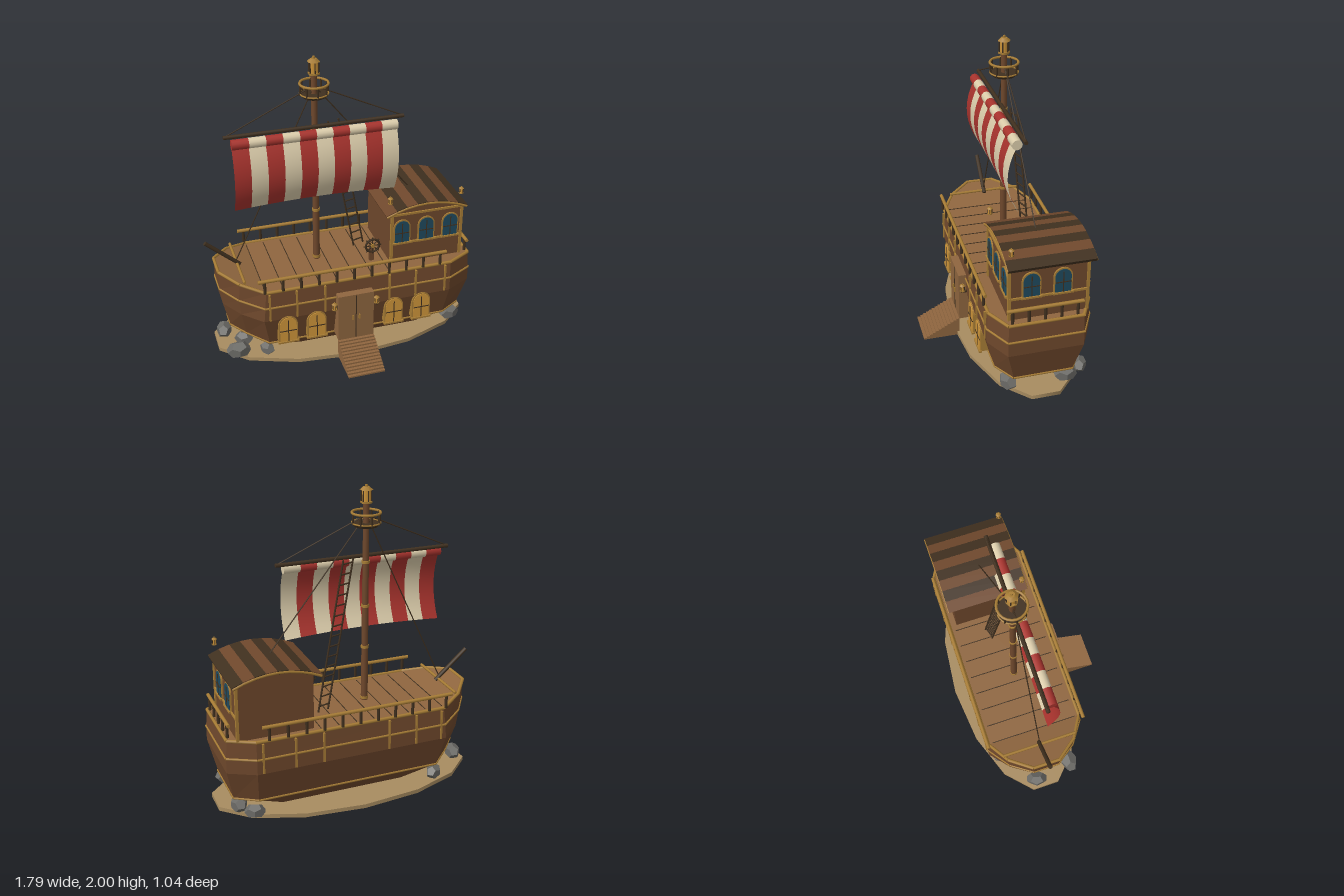
import * as THREE from 'three';

const mat = (name, color, side = THREE.FrontSide) => {
  const m = new THREE.MeshStandardMaterial({ color, side });
  m.name = name;
  return m;
};
const V = (x, y, z) => new THREE.Vector3(x, y, z);
const CZ = -0.11; // centre line of the ship

export function createModel() {
  const root = new THREE.Group();
  root.name = 'shipHouse';
  const hullWood = mat('hullWood', 0x6f482c), dark = mat('darkWood', 0x40301f), light = mat('lightWood', 0x8f663f);
  const gold = mat('goldTrim', 0xa87d35), amber = mat('amberGlass', 0xd0963a), blue = mat('blueGlass', 0x1f4a5e);
  const red = mat('redCloth', 0xa8332d, THREE.DoubleSide), cream = mat('creamCloth', 0xdccdab, THREE.DoubleSide);
  const sand = mat('sand', 0xa88c60), stone = mat('stone', 0x6b6a66);

  const add = (name, geo, m, x = 0, y = 0, z = 0, parent = root) => {
    const mesh = new THREE.Mesh(geo, m);
    mesh.name = name;
    mesh.position.set(x, y, z);
    parent.add(mesh);
    return mesh;
  };
  const box = (name, m, w, h, d, x, y, z, parent) => add(name, new THREE.BoxGeometry(w, h, d), m, x, y, z, parent);
  const cyl = (name, m, r0, r1, h, x, y, z, n = 8, parent) => add(name, new THREE.CylinderGeometry(r0, r1, h, n), m, x, y, z, parent);
  const bar = (name, m, a, b, r, n = 6) => {
    const mesh = cyl(name, m, r, r, a.distanceTo(b), 0, 0, 0, n);
    mesh.position.copy(a).add(b).multiplyScalar(0.5);
    mesh.quaternion.setFromUnitVectors(V(0, 1, 0), b.clone().sub(a).normalize());
    return mesh;
  };
  const group = (name, x, y, z) => {
    const g = new THREE.Group();
    g.name = name;
    g.position.set(x, y, z);
    root.add(g);
    return g;
  };
  const flat = (quads) => {
    const p = quads.flatMap(([a, b, c, d]) => [a, b, c, a, c, d]).flatMap((v) => v.toArray());
    const g = new THREE.BufferGeometry();
    g.setAttribute('position', new THREE.Float32BufferAttribute(p, 3));
    g.computeVertexNormals();
    return g;
  };

  // Sandy base
  const base = cyl('sandBase', sand, 0.9, 0.9, 0.027, 0.015, 0.0135, CZ, 14);
  base.scale.z = 0.41 / 0.9;

  // Hull: outlines lofted upward, each a half plan of [x, half width] from bow to stern
  const levels = [
    { y: 0.035, rise: 0, plan: [[-0.4, 0.08], [-0.38, 0.15], [-0.33, 0.2], [0.5, 0.2], [0.56, 0.11]] },
    { y: 0.132, rise: 0.065, plan: [[-0.77, 0.06], [-0.68, 0.16], [-0.55, 0.275], [0.68, 0.275], [0.82, 0.19]] },
    { y: 0.345, rise: 0.03, plan: [[-0.815, 0.08], [-0.72, 0.22], [-0.59, 0.33], [0.7, 0.33], [0.87, 0.24]] },
    { y: 0.445, rise: 0.05, plan: [[-0.83, 0.085], [-0.73, 0.225], [-0.58, 0.33], [0.7, 0.33], [0.87, 0.24]] },
    { y: 0.563, rise: 0.065, plan: [[-0.83, 0.09], [-0.72, 0.23], [-0.57, 0.32], [0.7, 0.32], [0.86, 0.235]] },
  ];
  const rings = levels.map(({ y, rise, plan }) => {
    const side = (s) => plan.map(([x, w]) => V(x, y + rise * Math.max(0, (-0.57 - x) / 0.26), CZ + s * w));
    return [...side(1), ...side(-1).reverse()];
  });
  const strips = (r, up) => [0, 1, 2, 3].map((i) => {
    const q = [r[i], r[i + 1], r[8 - i], r[9 - i]];
    return up ? q : q.reverse();
  });
  const walls = strips(rings[0], false);
  for (let l = 0; l < 4; l++) {
    for (let i = 0; i < 10; i++) {
      const j = (i + 1) % 10;
      walls.push([rings[l][i], rings[l][j], rings[l + 1][j], rings[l + 1][i]]);
    }
  }
  add('hull', flat(walls), hullWood);
  add('deck', flat(strips(rings[4], true)), light);
  for (const [l, r] of [[1, 0.008], [3, 0.008], [4, 0.011]]) {
    rings[l].forEach((p, i) => bar('hullTrim', gold, p, rings[l][(i + 1) % 10], r));
  }
  for (let i = 0; i < 8; i++) box('deckSeam', dark, 0.005, 0.004, 0.58, -0.57 + i * 0.12, 0.564, CZ);
  for (const s of [1, -1]) {
    for (const x of [-0.55, -0.37, -0.18, 0.265, 0.45, 0.66]) box('hullRib', gold, 0.012, 0.2, 0.016, x, 0.45, CZ + s * 0.33);
  }

  // Deck railings
  const railing = (name, a, b, n) => {
    bar(name + 'Rail', gold, a, b, 0.012, 8);
    for (let i = 0; i < n; i++) {
      const p = a.clone().lerp(b, (i + 0.35) / (n - 0.3));
      cyl(name + 'Post', dark, 0.01, 0.01, 0.09, p.x, p.y - 0.047, p.z);
    }
  };
  for (const s of [1, -1]) railing('side', V(-0.62, 0.66, CZ + s * 0.33), V(0.66, 0.66, CZ + s * 0.33), 11);
  railing('stern', V(0.845, 0.66, -0.345), V(0.845, 0.66, 0.135), 5);
  bar('bowRail', gold, V(-0.69, 0.62, -0.36), V(-0.69, 0.62, 0.14), 0.01);
  bar('bowsprit', dark, V(-0.67, 0.61, CZ), V(-0.892, 0.807, CZ), 0.014, 8);

  // Arched windows, standing on their origin and facing +z
  const arch = (w, h) => {
    const r = w / 2;
    return new THREE.Shape().moveTo(-r, 0).lineTo(r, 0).lineTo(r, h - r).absarc(0, h - r, r, 0, Math.PI, false).lineTo(-r, 0);
  };
  const slab = (shape, depth) => new THREE.ExtrudeGeometry(shape, { depth, bevelEnabled: false, curveSegments: 8 });
  const archWindow = (name, glass, w, h, x, y, z, turn, back) => {
    const g = group(name, x, y, z);
    g.rotation.y = turn;
    add('frame', slab(arch(w + 0.018, h + 0.012), back), gold, 0, -0.003, -back, g);
    add('pane', slab(arch(w, h), 0.004), glass, 0, 0, 0, g);
    box('upright', dark, 0.006, h * 0.9, 0.006, 0, h * 0.45, 0.004, g);
    box('crossbar', dark, w, 0.006, 0.006, 0, h * 0.45, 0.004, g);
    box('sill', gold, w + 0.03, 0.012, 0.02, 0, -0.004, 0.002, g);
  };
  for (const x of [-0.435, -0.24, 0.298, 0.495]) archWindow('hullWindow', amber, 0.112, 0.185, x, 0.17, 0.226, 0, 0.05);

  // Entrance with double doors, stairs and wall lanterns
  box('entrance', light, 0.245, 0.345, 0.12, 0.017, 0.302, 0.21);
  box('doorGap', dark, 0.006, 0.335, 0.004, 0.017, 0.302, 0.271);
  for (const x of [-0.005, 0.039]) box('doorHandle', gold, 0.008, 0.035, 0.012, x, 0.3, 0.273);
  for (let i = 0; i < 12; i++) {
    const h = 0.13 * (12 - i) / 12;
    box('stair', light, 0.25, h, 0.0205, 0.017, h / 2, 0.28 + i * 0.0205);
  }
  const lantern = (name, x, y, z, s) => {
    const g = group(name, x, y, z);
    g.scale.setScalar(s);
    cyl('lanternBase', gold, 0.038, 0.038, 0.012, 0, 0.006, 0, 6, g);
    cyl('lanternGlass', amber, 0.027, 0.027, 0.07, 0, 0.047, 0, 6, g);
    for (let i = 0; i < 6; i++) {
      const a = i * Math.PI / 3;
      cyl('lanternBar', dark, 0.004, 0.004, 0.07, 0.031 * Math.sin(a), 0.047, 0.031 * Math.cos(a), 5, g);
    }
    cyl('lanternCap', gold, 0.02, 0.042, 0.02, 0, 0.092, 0, 6, g);
    cyl('lanternKnob', gold, 0.008, 0.008, 0.016, 0, 0.108, 0, 6, g);
  };
  for (const x of [-0.125, 0.165]) {
    lantern('wallLantern', x, 0.37, 0.25, 0.5);
    box('lanternBracket', dark, 0.012, 0.012, 0.05, x, 0.365, 0.235);
  }

  // Cabin with arched gables
  const roofY = (x) => 0.93 + 0.065 * (1 - ((x - 0.55) / 0.28) ** 2);
  const wall = new THREE.Shape().moveTo(0.31, 0.555).lineTo(0.8, 0.555);
  for (let i = 0; i <= 8; i++) wall.lineTo(0.8 - i * 0.49 / 8, roofY(0.8 - i * 0.49 / 8) - 0.008);
  wall.lineTo(0.31, 0.555);
  add('cabin', slab(wall, 0.49), hullWood, 0, 0, -0.38);
  for (let i = 0; i < 8; i++) {
    const x0 = 0.27 + i * 0.07, x1 = x0 + 0.07, dy = roofY(x1) - roofY(x0);
    const plank = box('roofPlank', i % 2 ? dark : hullWood, Math.hypot(0.07, dy) + 0.002, 0.022, 0.545, (x0 + x1) / 2, (roofY(x0) + roofY(x1)) / 2, -0.1475);
    plank.rotation.z = Math.atan2(dy, 0.07);
    for (const z of [0.122, -0.417]) bar('roofTrim', gold, V(x0, roofY(x0) - 0.002, z), V(x1, roofY(x1) - 0.002, z), 0.009);
  }
  for (const y of [0.715, 0.932]) {
    box('cabinFrontBand', gold, 0.51, 0.014, 0.016, 0.555, y, 0.112);
    box('cabinSternBand', gold, 0.016, 0.014, 0.5, 0.802, y, -0.135);
  }
  for (const [x, z] of [[0.31, 0.11], [0.8, 0.11], [0.8, -0.38]]) box('cabinCorner', gold, 0.018, 0.37, 0.018, x, 0.75, z);
  for (const x of [0.38, 0.55, 0.72]) archWindow('cabinWindow', blue, 0.1, 0.16, x, 0.723, 0.118, 0, 0.012);
  for (const z of [-0.025, -0.22]) archWindow('sternWindow', blue, 0.1, 0.16, 0.81, 0.723, z, Math.PI / 2, 0.012);
  for (const x of [0.3, 0.795]) lantern('roofLantern', x, 1.016, 0.097, 0.45);

  // Mast, lookout and top lantern
  const MX = -0.145;
  cyl('mast', hullWood, 0.019, 0.023, 1.33, MX, 1.225, CZ, 10);
  for (const y of [0.58, 0.94, 1.22, 1.51]) cyl('mastBand', gold, 0.026, 0.026, 0.018, MX, y, CZ, 10);
  cyl('lookoutFloor', dark, 0.088, 0.075, 0.02, MX, 1.75, CZ, 16);
  for (const y of [1.762, 1.825]) {
    add('lookoutRing', new THREE.TorusGeometry(0.09, y > 1.8 ? 0.008 : 0.005, 6, 20).rotateX(Math.PI / 2), gold, MX, y, CZ);
  }
  for (let i = 0; i < 8; i++) {
    const a = i * Math.PI / 4;
    cyl('lookoutPost', dark, 0.007, 0.007, 0.075, MX + 0.088 * Math.cos(a), 1.79, CZ + 0.088 * Math.sin(a), 6);
  }
  lantern('mastLantern', MX, 1.884, CZ, 1);

  // Yard and striped sail, one strip at a time
  bar('yard', dark, V(-0.73, 1.545, -0.087), V(0.44, 1.545, -0.087), 0.013, 8);
  for (let i = 0; i < 10; i++) {
    const m = i % 2 ? cream : red, cx = -0.69 + (i + 0.5) * 0.1072;
    add('sailRoll', new THREE.CylinderGeometry(0.033, 0.033, 0.1072, 12).rotateZ(Math.PI / 2), m, cx, 1.508, -0.05);
    const cloth = new THREE.PlaneGeometry(0.1072, 1, 1, 9);
    const p = cloth.attributes.position;
    for (let k = 0; k < p.count; k++) {
      const x = cx + p.getX(k), t = 0.5 - p.getY(k), u = (x + 0.154) / 0.536;
      const z = -0.045 * (1 - t) ** 2 + 0.14 * t * (1 - t) - 0.065 * t * t;
      p.setXYZ(k, x, 1.49 - 0.45 * t + 0.02 * t * (1 - u * u), z);
    }
    cloth.computeVertexNormals();
    add('sailStripe', cloth, m);
  }

  // Rigging
  const top = V(MX, 1.81, CZ);
  for (const end of [V(-0.72, 1.55, -0.087), V(0.43, 1.55, -0.087), V(-0.69, 0.65, CZ), V(0.51, 0.995, -0.135)]) bar('rope', dark, top, end, 0.004, 5);

  // Rope ladder
  const low = V(0.175, 0.57, -0.187), high = V(-0.015, 1.55, -0.14);
  const half = V(0.038, 0, -0.012);
  for (const s of [1, -1]) {
    const o = half.clone().multiplyScalar(s);
    bar('ladderSide', dark, low.clone().add(o), high.clone().add(o), 0.006);
  }
  for (let i = 0; i < 15; i++) {
    const p = low.clone().lerp(high, (i + 0.6) / 15);
    bar('ladderRung', dark, p.clone().sub(half), p.clone().add(half), 0.005);
  }

  // Steering wheel
  const wheel = group('wheel', 0.198, 0.69, 0.053);
  add('wheelRim', new THREE.TorusGeometry(0.047, 0.008, 6, 20), dark, 0, 0, 0, wheel);
  for (let i = 0; i < 4; i++) cyl('wheelSpoke', dark, 0.004, 0.004, 0.125, 0, 0, 0, 5, wheel).rotation.z = i * Math.PI / 4;
  add('wheelHub', new THREE.CylinderGeometry(0.014, 0.014, 0.025, 8).rotateX(Math.PI / 2), gold, 0, 0, 0, wheel);
  box('wheelStand', hullWood, 0.03, 0.13, 0.02, 0.198, 0.63, 0.03);

  // Rocks on the base
  const rocks = [[-0.75, 0.1, 0.07], [-0.8, -0.16, 0.062], [-0.69, -0.03, 0.055], [-0.55, -0.36, 0.058], [-0.56, 0.12, 0.05],
    [0.76, 0.1, 0.065], [0.78, -0.27, 0.064], [0.71, -0.385, 0.058]];
  rocks.forEach(([x, z, r], i) => {
    const rock = add('rock', new THREE.DodecahedronGeometry(r, 0), stone, x, 0.02 + r * 0.75, z);
    rock.scale.set(1.2, 0.85, 0.85);
    rock.rotation.y = i * 1.3;
  });
  return root;
}
